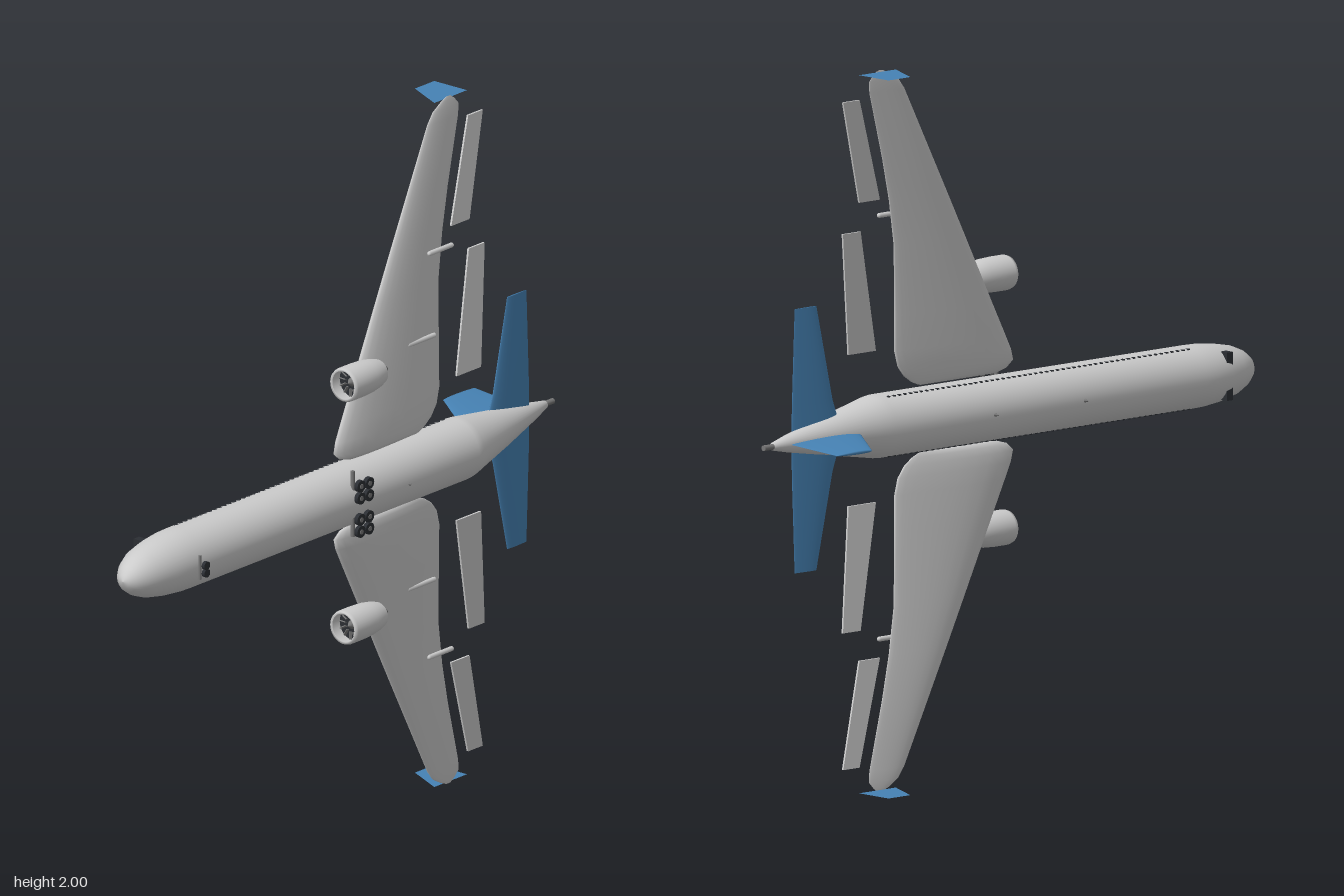
import * as THREE from 'three';
import { mergeGeometries } from 'three/addons/utils/BufferGeometryUtils.js';

const mat = (color, side = THREE.FrontSide) => new THREE.MeshStandardMaterial({ color, side });
const grey = mat(0xcccccc), greyThin = mat(0xcccccc, THREE.DoubleSide);
const blue = mat(0x4682b4), blueThin = mat(0x4682b4, THREE.DoubleSide);
const dark = mat(0x2b2e33), metal = mat(0x777777);

// Smooth skin over closed cross-sections of equal point count
function loft(rings) {
  const n = rings[0].length, index = [];
  for (let i = 0; i < rings.length - 1; i++) {
    for (let j = 0; j < n; j++) {
      const a = i * n + j, b = i * n + (j + 1) % n;
      index.push(a, b, a + n, b, b + n, a + n);
    }
  }
  const geo = new THREE.BufferGeometry();
  geo.setAttribute('position', new THREE.Float32BufferAttribute(rings.flat(2), 3));
  geo.setIndex(index);
  geo.computeVertexNormals();
  return geo;
}

// Airfoil surface spanning y; stations are [span, leadX, trailX, thickness, z]
function airfoil(stations, side = 1, n = 24) {
  const rings = stations.map(([s, lead, trail, t, z]) =>
    Array.from({ length: n }, (_, j) => {
      const a = j / n * Math.PI * 2, c = Math.sin(a);
      return [(lead + trail) / 2 + (trail - lead) / 2 * c, s * side,
        z + t / 2 * Math.cos(a) * (1 - 0.4 * c)];
    }));
  return loft(side > 0 ? rings : rings.reverse());
}

// Height of the wing plane at a given span
const wingZ = s => 0.088 - 0.078 * s;

export function createModel() {
  const root = new THREE.Group();
  root.name = 'airliner';
  const plane = new THREE.Group();
  plane.name = 'aircraft';
  plane.position.y = 1;
  root.add(plane);
  const add = (name, geo, material, x = 0, y = 0, z = 0, parent = plane) => {
    const m = new THREE.Mesh(geo, material);
    m.name = name;
    m.position.set(x, y, z);
    parent.add(m);
    return m;
  };

  // Fuselage: [x, radius, centre z]
  const body = [
    [-0.925, 0, 0.086], [-0.92, 0.018, 0.085], [-0.905, 0.036, 0.083], [-0.88, 0.053, 0.081],
    [-0.84, 0.069, 0.078], [-0.78, 0.081, 0.076], [-0.72, 0.087, 0.075], [-0.68, 0.088, 0.075],
    [0.46, 0.088, 0.075], [0.485, 0.0855, 0.073], [0.52, 0.079, 0.069], [0.65, 0.056, 0.055],
    [0.82, 0.025, 0.033], [0.885, 0.011, 0.024], [0.89, 0, 0.024],
  ];
  add('fuselage', loft(body.map(([x, r, z]) => Array.from({ length: 40 }, (_, j) => {
    const a = j / 40 * Math.PI * 2;
    return [x, r * Math.cos(a), z + r * Math.sin(a)];
  }))), grey);
  add('tailExhaust', new THREE.CylinderGeometry(0.008, 0.008, 0.045, 16).rotateZ(Math.PI / 2), metal, 0.8975, 0, 0.022);

  // Cabin windows run through the fuselage and show on both sides
  const windows = [];
  for (let i = 0; i < 56; i++) {
    windows.push(new THREE.BoxGeometry(0.009, 0.169, 0.01).translate(-0.66 + i * 0.02, 0, 0.047));
  }
  add('cabinWindows', mergeGeometries(windows), dark);
  add('cockpitWindows', new THREE.BoxGeometry(0.022, 0.134, 0.032), dark, -0.775, 0, 0.019);

  // Small aerials on the back and belly
  for (const x of [-0.23, 0.1]) {
    add('aerial', new THREE.ConeGeometry(0.006, 0.02, 8).rotateX(-Math.PI / 2), metal, x, 0, -0.02);
  }
  add('bellyAerial', new THREE.ConeGeometry(0.005, 0.014, 8).rotateX(Math.PI / 2), metal, 0.17, 0, 0.167);

  // Fin
  const fin = airfoil([
    [-0.03, 0.56, 0.826, 0.018, 0], [0.2, 0.722, 0.855, 0.008, 0],
    [0.205, 0.725, 0.855, 0.008, 0], [0.205, 0.725, 0.855, 0, 0],
  ]).rotateX(-Math.PI / 2);
  add('fin', fin, blue);

  const wing = [
    [0.093, 0.04, 0.29, 0], [0.095, 0.01, 0.30, 0.016], [0.105, -0.025, 0.325, 0.03],
    [0.125, -0.047, 0.355, 0.038], [0.155, -0.037, 0.38, 0.042], [0.2, -0.012, 0.395, 0.042],
    [0.3, 0.045, 0.402, 0.039], [0.5, 0.158, 0.418, 0.03], [0.63, 0.232, 0.445, 0.025],
    [0.75, 0.301, 0.478, 0.02], [0.94, 0.41, 0.538, 0.011], [0.97, 0.435, 0.542, 0.008],
    [0.99, 0.47, 0.525, 0.005], [1, 0.495, 0.51, 0],
  ].map(s => [...s, wingZ(s[0])]);
  const stabilizer = [
    [0, 0.61, 0.797, 0.016, 0.045], [0.1, 0.646, 0.795, 0.013, 0.045],
    [0.366, 0.705, 0.785, 0.006, 0.045], [0.366, 0.705, 0.785, 0, 0.045],
  ];
  const flaps = {
    innerFlap: [[0.465, 0.21], [0.565, 0.21], [0.61, 0.553], [0.545, 0.553]],
    outerFlap: [[0.48, 0.635], [0.555, 0.635], [0.635, 0.925], [0.575, 0.925]],
  };
  // Engine profile: [radius, x]
  const nacelle = [[0.040, -0.083], [0.046, -0.085], [0.049, -0.075], [0.049, -0.03], [0.047, 0.01], [0.042, 0.04], [0.035, 0.062]];
  const core = [[0, -0.065], [0.012, -0.05], [0.022, 0], [0.021, 0.05], [0.011, 0.075], [0.008, 0.092], [0, 0.092]];
  const lathe = pts => new THREE.LatheGeometry(pts.map(p => new THREE.Vector2(...p)), 32).rotateZ(-Math.PI / 2);

  for (const [side, label] of [[1, 'upper'], [-1, 'lower']]) {
    const half = new THREE.Group();
    half.name = label + 'Half';
    plane.add(half);
    const put = (name, geo, m, x, y, z) => add(name, geo, m, x, y, z, half);

    put('wing', airfoil(wing, side), grey);
    put('stabilizer', airfoil(stabilizer, side), blue);

    // Flaps: flat slabs tilted to the wing's dihedral
    for (const [name, pts] of Object.entries(flaps)) {
      const shape = new THREE.Shape(pts.map(([x, s]) => new THREE.Vector2(x, s * side)));
      const geo = new THREE.ExtrudeGeometry(shape, { depth: 0.006, bevelEnabled: false });
      const p = geo.attributes.position;
      for (let i = 0; i < p.count; i++) p.setZ(i, p.getZ(i) - 0.003 + wingZ(Math.abs(p.getY(i))));
      geo.computeVertexNormals();
      put(name, geo, grey);
    }

    // Flap track fairings
    for (const [x, s, len] of [[0.32, 0.355, 0.12], [0.42, 0.587, 0.105]]) {
      put('flapFairing', new THREE.CapsuleGeometry(0.007, len - 0.014, 4, 10).rotateZ(Math.PI / 2), grey, x, s * side, wingZ(s) + 0.012);
    }

    // Thin winglet at the tip
    const tip = new THREE.Shape([[0.445, -0.01], [0.58, -0.01], [0.575, 0.105], [0.495, 0.105]].map(p => new THREE.Vector2(...p)));
    put('winglet', new THREE.ShapeGeometry(tip).rotateX(-Math.PI / 2), blueThin, 0, 0.995 * side, 0);

    // Engine with fan blades and exhaust cone
    const engine = new THREE.Group();
    engine.name = 'engine';
    engine.position.set(0, 0.353 * side, 0.145);
    half.add(engine);
    add('nacelle', lathe(nacelle), greyThin, 0, 0, 0, engine);
    add('engineCore', lathe(core), mat(0x777777, THREE.DoubleSide), 0, 0, 0, engine);
    add('fanDisc', new THREE.CylinderGeometry(0.044, 0.044, 0.006, 32).rotateZ(Math.PI / 2), dark, -0.045, 0, 0, engine);
    const blades = [];
    for (let i = 0; i < 12; i++) {
      blades.push(new THREE.BoxGeometry(0.02, 0.022, 0.003).rotateY(0.5)
        .translate(-0.045, 0.031, 0).rotateX(i * Math.PI / 6));
    }
    add('fanBlades', mergeGeometries(blades), metal, 0, 0, 0, engine);

    // Main and nose wheels
    for (const x of [-0.065, -0.03]) for (const s of [0.031, 0.066]) {
      put('mainWheel', new THREE.CylinderGeometry(0.017, 0.017, 0.012, 20).rotateX(Math.PI / 2), dark, x, s * side, 0.19);
      put('wheelHub', new THREE.CylinderGeometry(0.007, 0.007, 0.015, 12).rotateX(Math.PI / 2), metal, x, s * side, 0.19);
    }
    put('mainStrut', new THREE.CylinderGeometry(0.006, 0.006, 0.07, 12), metal, -0.048, 0.06 * side, 0.148);
    put('noseWheel', new THREE.CylinderGeometry(0.012, 0.012, 0.01, 20).rotateX(Math.PI / 2), dark, -0.7, 0.011 * side, 0.19);
  }
  add('noseStrut', new THREE.CylinderGeometry(0.004, 0.004, 0.07, 12), metal, -0.7, 0, 0.168);

  return root;
}
